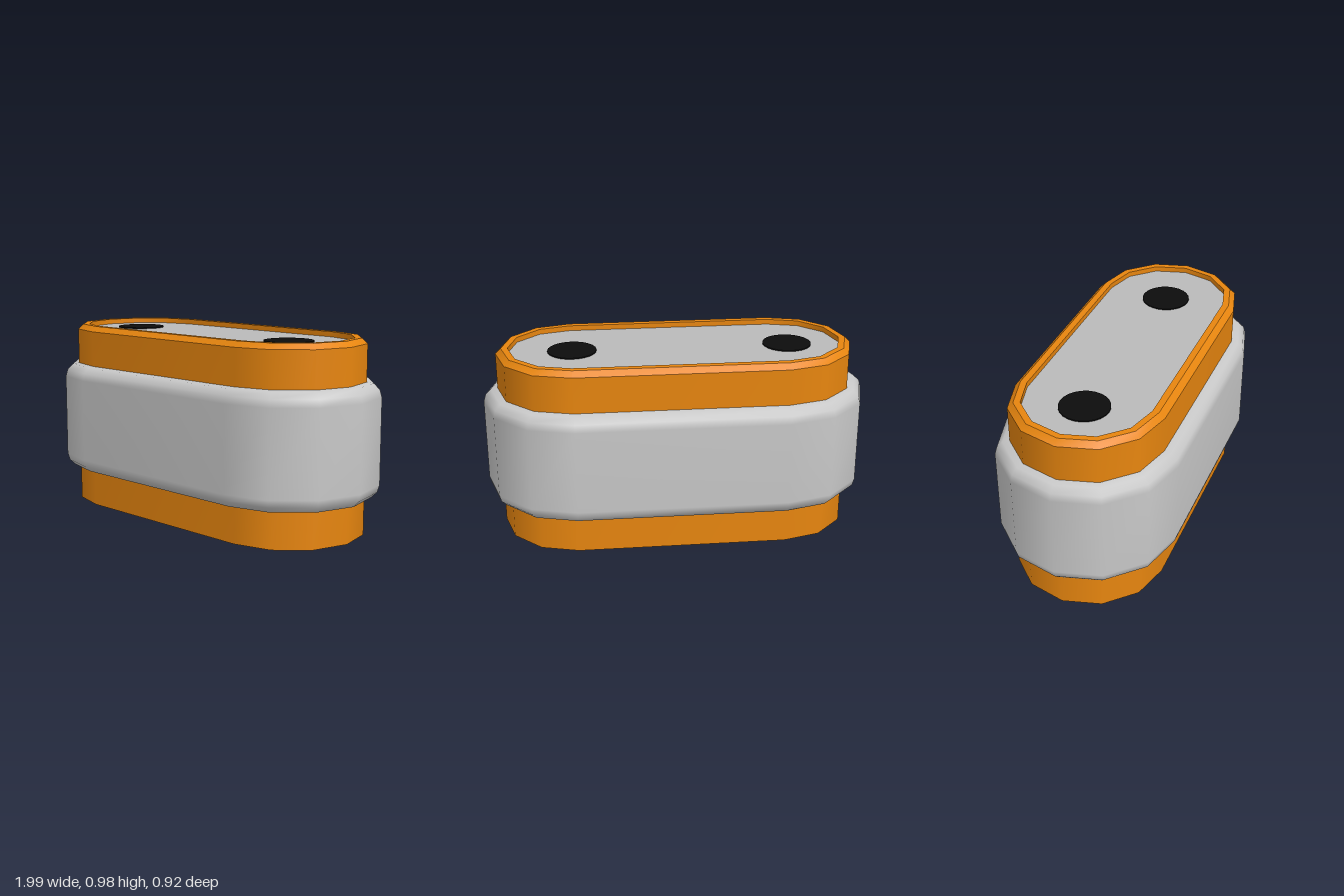
import * as THREE from 'three';
import { mergeGeometries } from 'three/addons/utils/BufferGeometryUtils.js';

const mat = (name, color) => {
  const m = new THREE.MeshStandardMaterial({ color });
  m.name = name;
  return m;
};

// Stadium outline: two half circles of six sides joined by straight runs
function outline(r, c = 0.537) {
  const pts = [];
  for (const side of [0, 1]) {
    for (let i = 0; i <= 6; i++) {
      const a = -Math.PI / 2 + side * Math.PI + (i * Math.PI) / 6;
      pts.push(new THREE.Vector2((side ? -c : c) + r * Math.cos(a), r * Math.sin(a)));
    }
  }
  return pts;
}

// Smooth wall through stadium rings, given as [radius, y] from bottom to top
function wall(profile) {
  const pos = [], index = [], n = 14;
  for (const [r, y] of profile) for (const p of outline(r)) pos.push(p.x, y, -p.y);
  for (let j = 0; j < profile.length - 1; j++) {
    for (let i = 0; i < n; i++) {
      const k = (i + 1) % n;
      const a = j * n + i, b = j * n + k, c = a + n, d = b + n;
      index.push(a, b, d, a, d, c);
    }
  }
  const g = new THREE.BufferGeometry();
  g.setAttribute('position', new THREE.Float32BufferAttribute(pos, 3));
  g.setIndex(index);
  g.computeVertexNormals();
  return g;
}

// Flat stadium face, looking up or down
function cap(r, y, up = true) {
  const g = new THREE.ShapeGeometry(new THREE.Shape(outline(r)));
  g.rotateX(up ? -Math.PI / 2 : Math.PI / 2);
  g.translate(0, y, 0);
  g.deleteAttribute('uv');
  return g;
}

export function createModel() {
  const group = new THREE.Group();
  const orange = mat('orange', 0xe8860f);
  const lightGrey = mat('lightGrey', 0xc8c8c8);
  const panelGrey = mat('panelGrey', 0xbababa);
  const black = mat('black', 0x0c0c0c);
  const add = (name, geometry, material) => {
    const m = new THREE.Mesh(geometry, material);
    m.name = name;
    group.add(m);
    return m;
  };

  // Core: straight wall, chamfer, flat rim and inner lip, each with sharp edges
  const core = [[0.385, 0], [0.385, 0.955], [0.356, 0.982], [0.322, 0.982], [0.322, 0.952]];
  const pieces = core.slice(1).map((p, i) => wall([core[i], p]));
  add('core', mergeGeometries([...pieces, cap(0.385, 0, false)]), orange);

  // Rounded sleeve around the middle
  add('sleeve', wall([
    [0.37, 0.185], [0.42, 0.193], [0.449, 0.222], [0.46, 0.26],
    [0.46, 0.695], [0.449, 0.733], [0.42, 0.762], [0.37, 0.77],
  ]), lightGrey);

  // Recessed top panel with two dark spots
  add('topPanel', cap(0.322, 0.955), panelGrey);
  for (const [name, x] of [['rightSpot', -0.585], ['leftSpot', 0.532]]) {
    add(name, new THREE.CylinderGeometry(0.126, 0.126, 0.006, 24), black).position.set(x, 0.958, 0);
  }
  return group;
}
